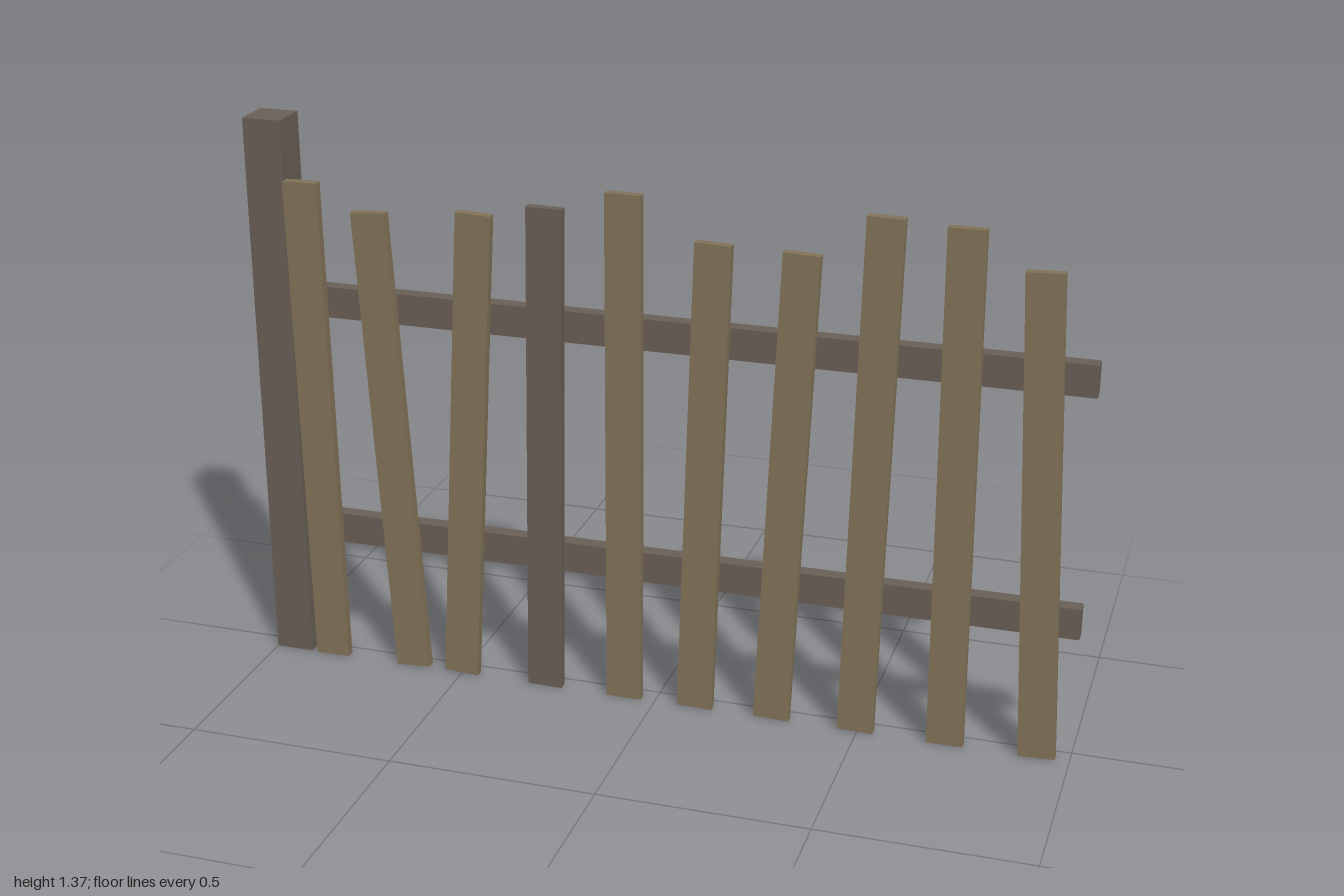
import * as THREE from 'three';

export function createModel() {
  const fence = new THREE.Group();
  fence.name = 'fence';

  const paleWood = new THREE.MeshStandardMaterial({ name: 'paleWood', color: 0x827358 });
  const greyWood = new THREE.MeshStandardMaterial({ name: 'greyWood', color: 0x696056 });

  // Box given by its extents on each axis
  function board(name, material, [x0, x1], [y0, y1], [z0, z1]) {
    const mesh = new THREE.Mesh(new THREE.BoxGeometry(x1 - x0, y1 - y0, z1 - z0), material);
    mesh.position.set((x0 + x1) / 2, (y0 + y1) / 2, (z0 + z1) / 2);
    mesh.name = name;
    fence.add(mesh);
  }

  // End post and the two rails running from it
  board('post', greyWood, [-1, -0.905], [0, 1.37], [-0.05, 0.047]);
  board('lowerRail', greyWood, [-0.95, 1], [0.307, 0.383], [-0.008, 0.028]);
  board('upperRail', greyWood, [-0.95, 1], [0.893, 0.969], [-0.008, 0.028]);

  // Leaning pickets: centre x at the foot, centre x at the top, top height
  const pickets = [
    [-0.847, -0.864, 1.228],
    [-0.628, -0.695, 1.17],
    [-0.5, -0.433, 1.19],
    [-0.281, -0.261, 1.218],
    [-0.078, -0.073, 1.266],
    [0.1, 0.137, 1.17],
    [0.29, 0.34, 1.166],
    [0.495, 0.525, 1.266],
    [0.709, 0.702, 1.256],
    [0.924, 0.874, 1.175],
  ];
  pickets.forEach(([foot, top, height], i) => {
    const lean = Math.atan2(foot - top, height);
    const base = Math.abs(Math.sin(lean)) * 0.043; // keeps the lower corner on the ground
    const length = Math.hypot(top - foot, height - 2 * base);
    const mesh = new THREE.Mesh(
      new THREE.BoxGeometry(0.086, length, 0.022),
      i === 3 ? greyWood : paleWood
    );
    mesh.position.set((foot + top) / 2, height / 2, 0.039);
    mesh.rotation.z = lean;
    mesh.name = `picket${i + 1}`;
    fence.add(mesh);
  });

  return fence;
}
